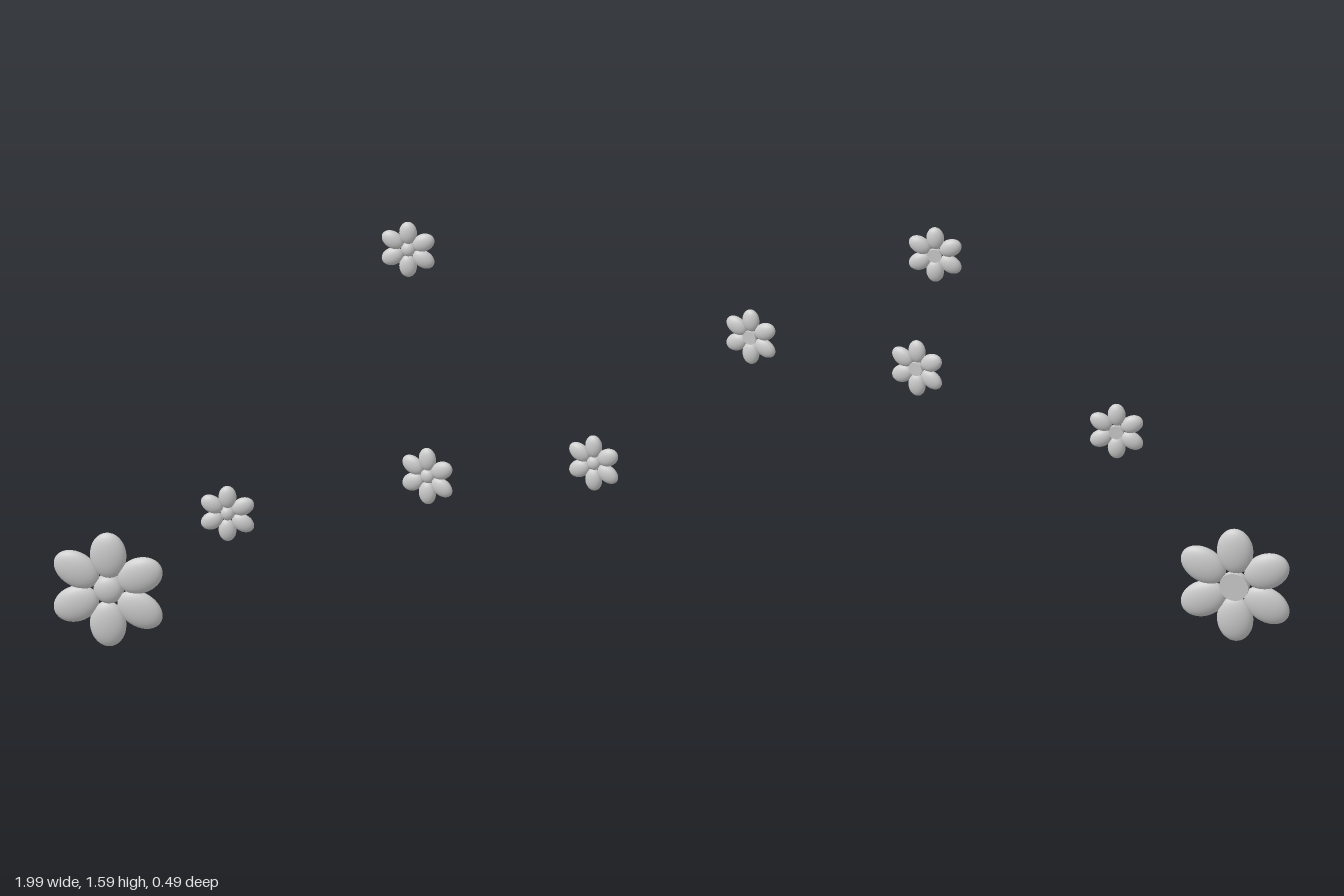
import * as THREE from 'three';

const PETALS = 6;

// Each flower: centre, reach from centre to petal tip, half thickness, turn about the vertical axis
const FLOWERS = [
  { name: 'largeFlower', at: [-0.805, 0.213, -0.07], reach: 0.213, depth: 0.031, yaw: -0.1 },
  { name: 'lowFlower', at: [-0.36, 0.644, 0.188], reach: 0.103, depth: 0.021, yaw: -0.05 },
  { name: 'middleFlower', at: [0.332, 0.832, 0.202], reach: 0.105, depth: 0.02, yaw: -0.33 },
  { name: 'sideFlower', at: [0.906, 0.914, 0.2], reach: 0.103, depth: 0.02, yaw: -0.33 },
  { name: 'topFlower', at: [0.211, 1.485, -0.224], reach: 0.103, depth: 0.021, yaw: -0.1 },
];

function createFlower({ name, at, reach, depth, yaw }, material) {
  const flower = new THREE.Group();
  flower.name = name;

  // Ring of flattened egg-shaped petals
  const petalGeometry = new THREE.SphereGeometry(1, 32, 20);
  petalGeometry.scale(reach * 0.3, reach * 0.395, depth);
  petalGeometry.translate(0, reach * 0.605, 0);
  for (let i = 0; i < PETALS; i++) {
    const petal = new THREE.Mesh(petalGeometry, material);
    petal.name = 'petal';
    petal.rotation.z = (i * Math.PI * 2) / PETALS;
    flower.add(petal);
  }

  // Centre: shallow dome in front, flat at the back
  const r = reach * 0.24;
  const profile = [new THREE.Vector2(0, -depth * 0.7), new THREE.Vector2(r, -depth * 0.7)];
  profile.push(new THREE.Vector2(r, -depth * 0.7)); // repeated point keeps the back rim sharp
  for (let i = 0; i <= 10; i++) {
    const a = (i / 10) * Math.PI / 2;
    profile.push(new THREE.Vector2(r * Math.cos(a), depth * 0.9 * Math.sin(a)));
  }
  const centreGeometry = new THREE.LatheGeometry(profile, 32);
  centreGeometry.rotateX(Math.PI / 2);
  const centre = new THREE.Mesh(centreGeometry, material);
  centre.name = 'flowerCentre';
  flower.add(centre);

  flower.position.set(...at);
  flower.rotation.y = yaw;
  return flower;
}

export function createModel() {
  const model = new THREE.Group();
  model.name = 'scatteredFlowers';
  const material = new THREE.MeshStandardMaterial({ color: 0xcccccc });
  for (const spec of FLOWERS) model.add(createFlower(spec, material));
  return model;
}
